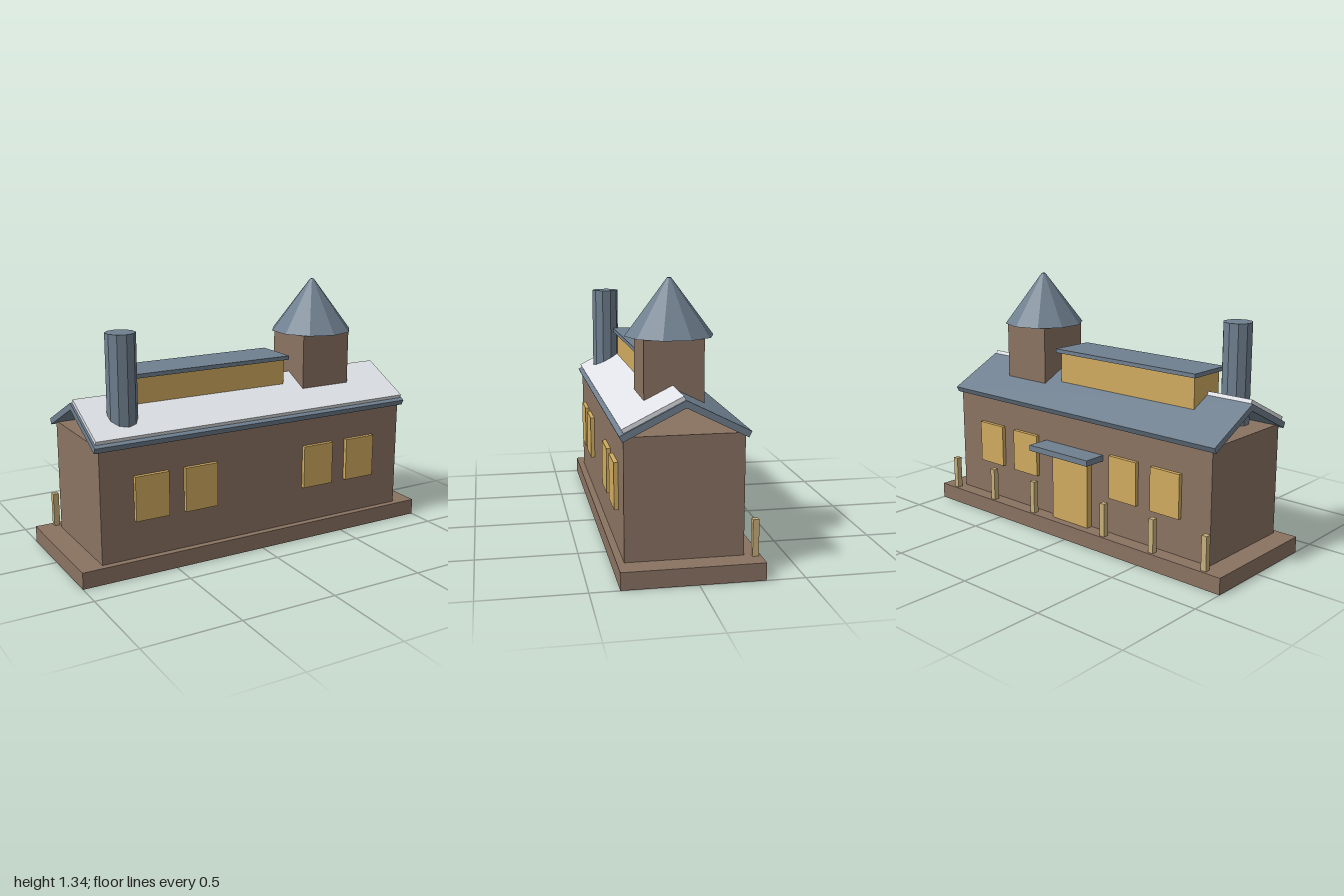
import * as THREE from 'three';

export function createModel() {
  const model = new THREE.Group();
  const paint = (name, color) => {
    const m = new THREE.MeshStandardMaterial({ color });
    m.name = name;
    return m;
  };
  const brown = paint('brown wall', 0x8a7362);
  const slate = paint('slate', 0x708090);
  const gold = paint('gold glass', 0xd2ac60);
  const tan = paint('tan post', 0xc9b07c);
  const snowWhite = paint('snow', 0xe6e9ee);

  function add(name, geometry, material) {
    const mesh = new THREE.Mesh(geometry, material);
    mesh.name = name;
    model.add(mesh);
    return mesh;
  }
  // Box given by its limits on each axis
  function box(name, material, [x0, x1], [y0, y1], [z0, z1]) {
    const g = new THREE.BoxGeometry(x1 - x0, y1 - y0, z1 - z0);
    g.translate((x0 + x1) / 2, (y0 + y1) / 2, (z0 + z1) / 2);
    return add(name, g, material);
  }
  // Ten-sided faceted column or cone
  function column(name, material, rTop, rBottom, y0, y1, x, z) {
    const g = new THREE.CylinderGeometry(rTop, rBottom, y1 - y0, 10).toNonIndexed();
    g.computeVertexNormals();
    g.translate(x, (y0 + y1) / 2, z);
    return add(name, g, material);
  }
  // Profile of [z, y] points extruded along x
  function prism(name, material, points, halfLength) {
    const shape = new THREE.Shape(points.map(([z, y]) => new THREE.Vector2(-z, y)));
    const g = new THREE.ExtrudeGeometry(shape, { depth: 2 * halfLength, bevelEnabled: false });
    g.translate(0, 0, -halfLength);
    g.rotateY(Math.PI / 2);
    return add(name, g, material);
  }

  // Platform and hall
  box('platform', brown, [-1, 1], [0, 0.085], [-0.313, 0.36]);
  box('hall', brown, [-0.885, 0.885], [0.085, 0.67], [-0.235, 0.326]);

  // Gabled roof, open at the ends, with snow on the front slope
  prism('roof', slate, [
    [0.045, 0.832], [0.348, 0.68], [0.334, 0.652],
    [0.045, 0.797], [-0.244, 0.652], [-0.258, 0.68],
  ], 0.91);
  prism('snow', snowWhite, [
    [0.045, 0.832], [0.054, 0.85], [0.337, 0.709], [0.328, 0.691],
  ], 0.9);

  // Windows on both long walls
  for (const x of [-0.62, -0.35, 0.35, 0.62]) {
    box('frontWindow', gold, [x - 0.09, x + 0.09], [0.281, 0.509], [0.31, 0.347]);
    box('backWindow', gold, [x - 0.09, x + 0.09], [0.281, 0.509], [-0.256, -0.22]);
  }

  // Door, canopy and platform posts at the back
  box('door', gold, [-0.125, 0.125], [0.085, 0.445], [-0.27, -0.22]);
  box('canopy', slate, [-0.205, 0.205], [0.463, 0.494], [-0.36, -0.22]);
  for (const x of [0.255, 0.575, 0.895]) {
    for (const s of [-1, 1]) {
      box('post', tan, [s * x - 0.015, s * x + 0.015], [0.085, 0.262], [-0.3, -0.27]);
    }
  }

  // Glazed lantern along the ridge
  box('lanternGlass', gold, [-0.644, 0.254], [0.775, 0.941], [-0.062, 0.14]);
  box('lanternRoof', slate, [-0.663, 0.273], [0.941, 0.962], [-0.085, 0.163]);

  // Chimney
  column('chimney', slate, 0.075, 0.075, 0.62, 1.185, -0.705, 0.203);

  // Tower with conical cap
  box('tower', brown, [0.345, 0.635], [0.76, 1.067], [-0.098, 0.192]);
  column('towerCap', slate, 0.01, 0.218, 1.067, 1.343, 0.49, 0.045);

  return model;
}
